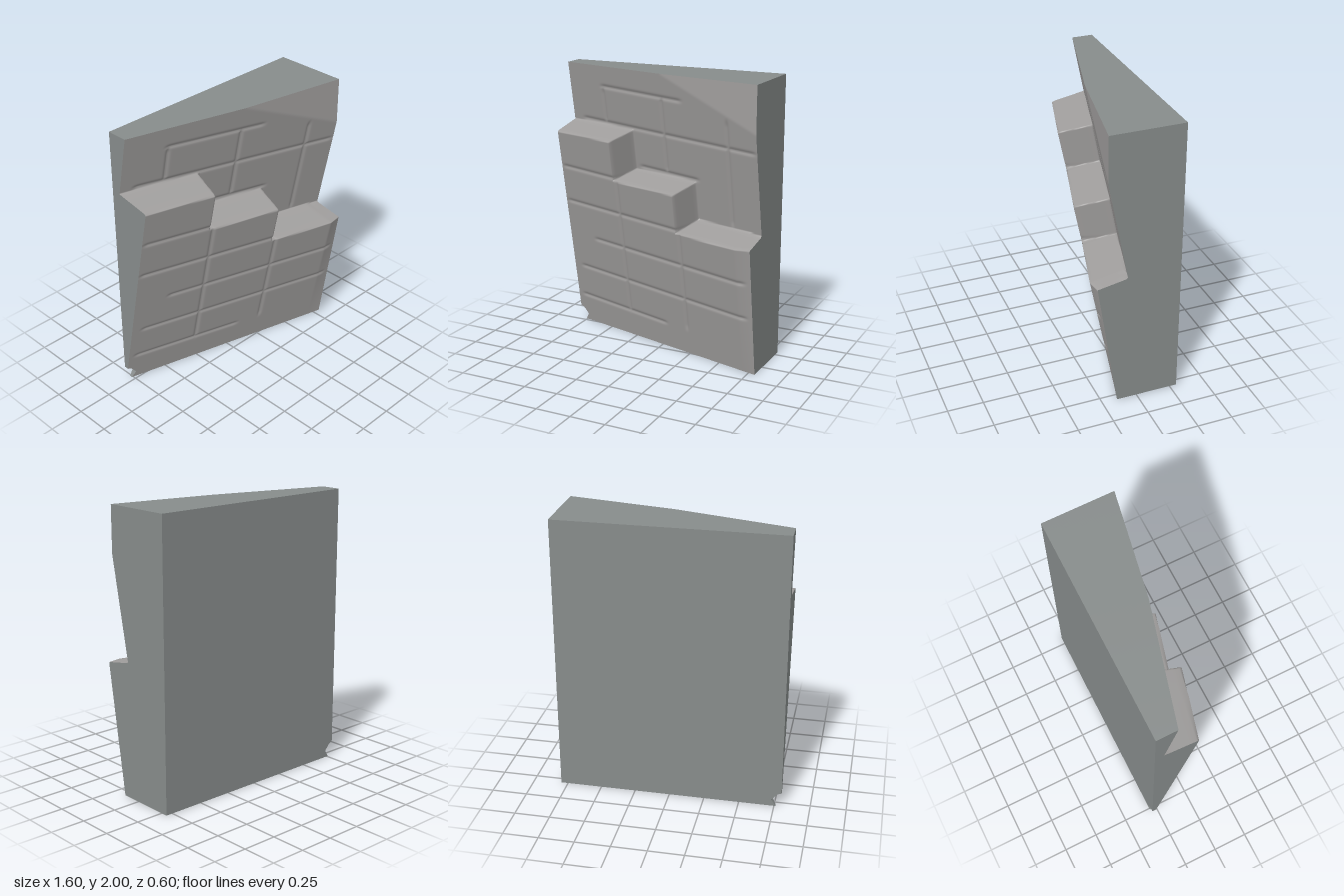
import * as THREE from 'three';
import { toCreasedNormals } from 'three/addons/utils/BufferGeometryUtils.js';

const NX = 180, NY = 225, BACK = -0.3, STEP = 0.26;
const { lerp, smoothstep } = THREE.MathUtils;

// Stepped brick courses: right end and front top edge of each
const steps = [[-0.31, 1.51], [0.215, 1.22], [9, 0.94]];
// Mortar beds: [y at x = 0, from x, to x]
const beds = [[1.835, -0.5, 0.2], [1.57, -0.7, 0.78], [1.29, -0.2, 0.3], [1.235, -0.78, -0.3],
  [0.965, -0.78, 0.25], [0.705, -0.55, 0.75], [0.445, -0.72, 0.75], [0.195, -0.75, 0.05]];
// Upright joints: [x, from y, to y]
const joints = [[-0.49, 1.59, 1.83], [0.035, 1.3, 1.83], [0.57, 1.0, 1.73],
  [-0.285, 0.2, 1.24], [0.24, 0.2, 0.95]];

// Soft groove: distance from its line, position along it and its ends
const groove = (dist, t, a, b) => Math.exp(-((dist / 0.011) ** 2)) *
  smoothstep(t, a - 0.03, a + 0.03) * (1 - smoothstep(t, b - 0.03, b + 0.03));

// Depth of the brick face: a tilted plane, set back above the stepped courses
function faceZ(x, y) {
  const plane = -0.073 + 0.27 * x + 0.2 * y;
  // Upper wall, levelling off towards the top right
  const upper = Math.min(plane - STEP, 0.07 + (x > 0 ? 0.185 : 0.27) * x);
  // Distance behind the course fronts, growing steeply past their tops and ends
  let d = Infinity;
  for (const [right, top] of steps) {
    d = Math.min(d, Math.max(0, 5.56 * (y - top + 0.02 * x), 4.1 * (x - right)));
  }
  const worn = 0.45 * y * Math.max(0, x - 0.7);
  let cut = 0;
  for (const [by, a, b] of beds) cut = Math.max(cut, groove(y - by + 0.035 * x, x, a, b));
  for (const [jx, a, b] of joints) cut = Math.max(cut, groove(x - jx, y, a, b));
  return Math.max(Math.max(upper, plane - d - worn) - 0.009 * cut, BACK + 0.003);
}

// Left outline, with the broken corner at the foot
function leftX(y) {
  if (y >= 0.1) return -0.8;
  return y > 0.05 ? lerp(-0.73, -0.775, (y - 0.05) / 0.05) : lerp(-0.76, -0.73, y / 0.05);
}

function facePoint(i, j) {
  const y = 2 * j / NY;
  const x = lerp(leftX(y), 0.8, i / NX);
  return new THREE.Vector3(x, y, faceZ(x, y));
}

// Brick face as a grid of points
function brickFaceGeometry() {
  const pos = [], index = [];
  for (let j = 0; j <= NY; j++) {
    for (let i = 0; i <= NX; i++) {
      pos.push(...facePoint(i, j).toArray());
      if (i < NX && j < NY) {
        const a = j * (NX + 1) + i, c = a + NX + 1;
        index.push(a, a + 1, c + 1, a, c + 1, c);
      }
    }
  }
  const g = new THREE.BufferGeometry();
  g.setAttribute('position', new THREE.Float32BufferAttribute(pos, 3));
  g.setIndex(index);
  g.computeVertexNormals();
  return g;
}

// Edge of the face, counter-clockwise from the lower left
function outline() {
  const loop = [];
  for (let i = 0; i < NX; i++) loop.push(facePoint(i, 0));
  for (let j = 0; j < NY; j++) loop.push(facePoint(NX, j));
  for (let i = NX; i > 0; i--) loop.push(facePoint(i, NY));
  for (let j = NY; j > 0; j--) loop.push(facePoint(0, j));
  return loop;
}

// Band joining the face's edge to the flat back
function sidesGeometry(loop) {
  const pos = [];
  loop.forEach((a, k) => {
    const b = loop[(k + 1) % loop.length];
    const c = [b.x, b.y, BACK], d = [a.x, a.y, BACK];
    pos.push(...a.toArray(), ...d, ...c, ...a.toArray(), ...c, ...b.toArray());
  });
  const g = new THREE.BufferGeometry();
  g.setAttribute('position', new THREE.Float32BufferAttribute(pos, 3));
  return toCreasedNormals(g, 0.5);
}

export function createModel() {
  const group = new THREE.Group();
  group.name = 'steppedBrickWall';
  const brick = new THREE.MeshStandardMaterial({ color: 0xa09e9d });
  const stone = new THREE.MeshStandardMaterial({ color: 0x878c8b });
  const add = (name, geometry, material) => {
    const mesh = new THREE.Mesh(geometry, material);
    mesh.name = name;
    group.add(mesh);
    return mesh;
  };

  const loop = outline();
  add('brickFace', brickFaceGeometry(), brick);
  add('wallSides', sidesGeometry(loop), stone);

  // Flat back, mirrored so that it faces -z
  const shape = new THREE.Shape(loop.map((p) => new THREE.Vector2(-p.x, p.y)).reverse());
  const back = add('wallBack', new THREE.ShapeGeometry(shape), stone);
  back.rotation.y = Math.PI;
  back.position.z = BACK;
  return group;
}
